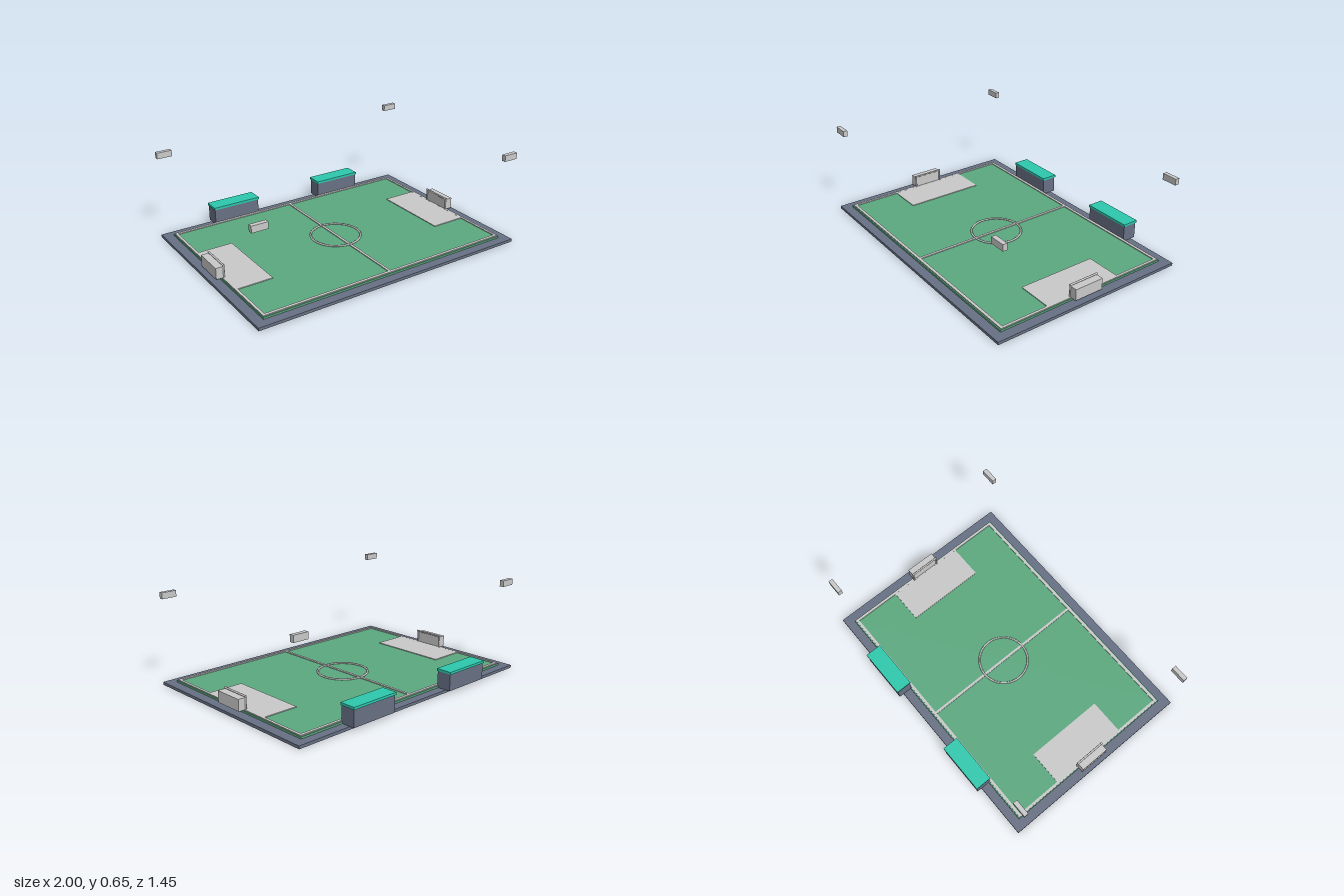
import * as THREE from 'three';

export function createModel() {
  const root = new THREE.Group();
  root.name = 'sportsPitch';
  const material = (name, color) => {
    const m = new THREE.MeshStandardMaterial({ color });
    m.name = name;
    return m;
  };
  const slate = material('slate', 0x687185);
  const grass = material('grass', 0x5caa80);
  const white = material('paleGrey', 0xcacaca);
  const teal = material('teal', 0x2dc9ae);

  // Box given by its extents on each axis
  const box = (parent, name, mat, [x0, x1], [y0, y1], [z0, z1]) => {
    const mesh = new THREE.Mesh(new THREE.BoxGeometry(x1 - x0, y1 - y0, z1 - z0), mat);
    mesh.position.set((x0 + x1) / 2, (y0 + y1) / 2, (z0 + z1) / 2);
    mesh.name = name;
    parent.add(mesh);
    return mesh;
  };
  const mid = 0.018; // pitch centre along z

  // Ground slab and grass
  box(root, 'groundSlab', slate, [-1, 1], [0, 0.02], [-0.688, 0.727]);
  box(root, 'grass', grass, [-0.933, 0.933], [0.02, 0.033], [-0.626, 0.662]);

  // Field markings
  const lineY = [0.033, 0.039];
  box(root, 'halfwayLine', white, [-0.009, 0.009], lineY, [-0.602, 0.635]);
  for (const s of [-1, 1]) {
    const z = mid + s * 0.626;
    box(root, 'touchLine', white, [-0.928, 0.928], lineY, [z - 0.01, z + 0.01]);
    const x = s * 0.919;
    box(root, 'goalLine', white, [x - 0.009, x + 0.009], lineY, [-0.598, 0.634]);
  }
  const circle = new THREE.Mesh(new THREE.TorusGeometry(0.174, 0.007, 8, 32), white);
  circle.rotation.x = -Math.PI / 2;
  circle.position.set(0, 0.037, mid);
  circle.name = 'centreCircle';
  root.add(circle);

  // Bar between two points
  const bar = (parent, name, a, b) => {
    const dir = b.clone().sub(a);
    const mesh = new THREE.Mesh(new THREE.CylinderGeometry(0.0065, 0.0065, dir.length(), 12), white);
    mesh.position.copy(a).add(b).multiplyScalar(0.5);
    mesh.quaternion.setFromUnitVectors(new THREE.Vector3(0, 1, 0), dir.normalize());
    mesh.name = name;
    parent.add(mesh);
  };

  for (const s of [-1, 1]) {
    const span = (a, b) => (s > 0 ? [a, b] : [-b, -a]);

    // Penalty area
    box(root, 'penaltyArea', white, span(0.663, 0.927), [0.033, 0.0385], [-0.267, 0.301]);

    // Goal: net box with a round frame in front
    const goal = new THREE.Group();
    goal.name = 'goal';
    root.add(goal);
    box(goal, 'goalNet', white, span(0.915, 0.969), [0.036, 0.116], [-0.089, 0.125]);
    const p = (y, z) => new THREE.Vector3(s * 0.914, y, z);
    const [z0, z1] = [mid - 0.105, mid + 0.105];
    bar(goal, 'goalPost', p(0.033, z0), p(0.122, z0));
    bar(goal, 'goalPost', p(0.033, z1), p(0.122, z1));
    bar(goal, 'crossbar', p(0.122, z0 - 0.006), p(0.122, z1 + 0.006));

    // Team shelter behind the far touch line
    const x = s * 0.437;
    const shelter = new THREE.Group();
    shelter.name = 'shelter';
    root.add(shelter);
    box(shelter, 'shelterBody', slate, [x - 0.174, x + 0.174], [0.02, 0.136], [-0.722, -0.618]);
    box(shelter, 'shelterRoof', teal, [x - 0.179, x + 0.179], [0.136, 0.153], [-0.728, -0.613]);

    // Floodlight heads above the corners
    for (const z of [-0.642, 0.681]) {
      box(root, 'floodlight', white, span(0.894, 1), [0.607, 0.65], [z - 0.015, z + 0.015]);
    }
  }
  return root;
}
